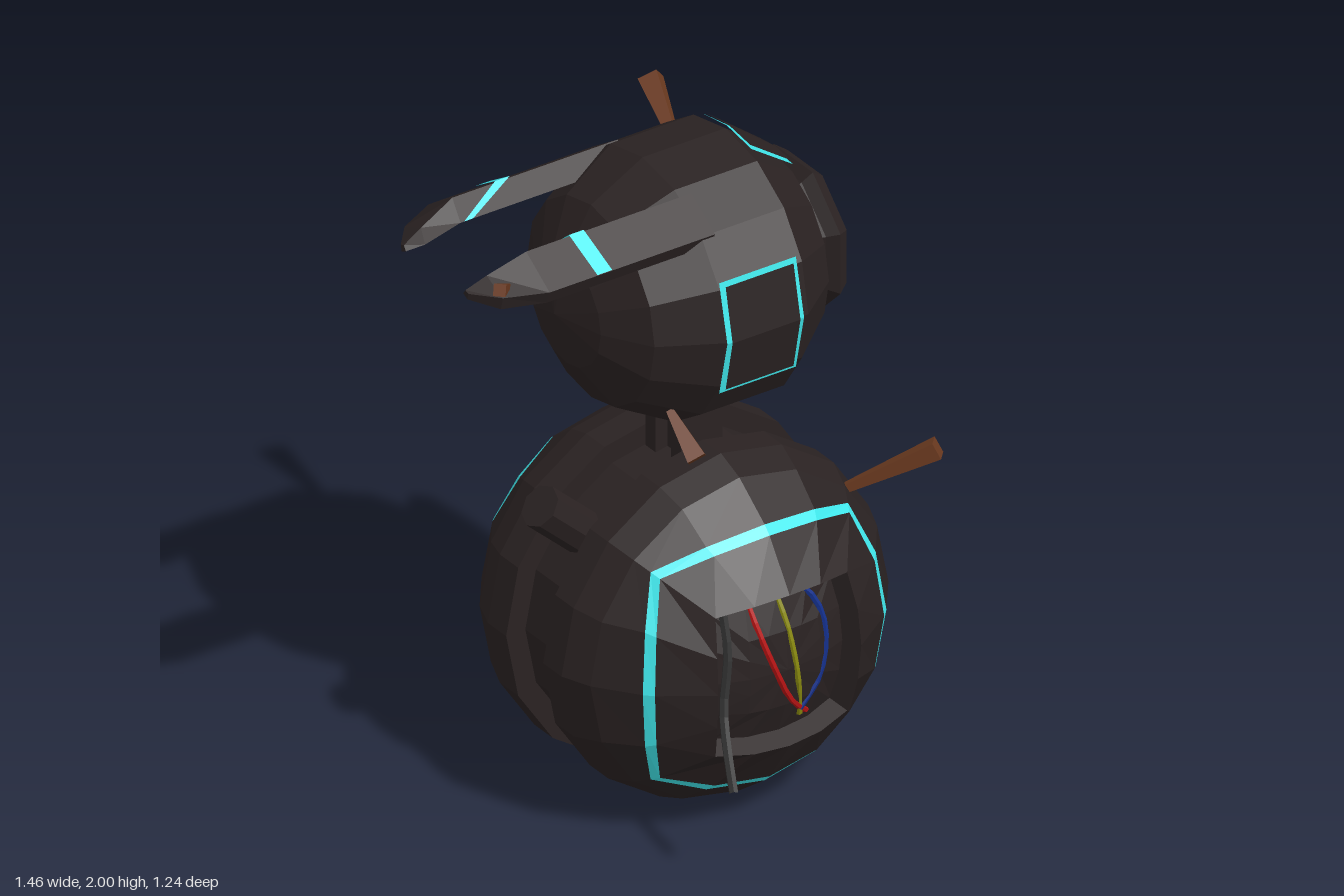
import * as THREE from 'three';

const mat = (color, side = THREE.FrontSide) => new THREE.MeshStandardMaterial({ color, flatShading: true, side });
const dark = mat(0x2a2222), darkThin = mat(0x2a2222, THREE.DoubleSide);
const cyan = mat(0x40e8ec, THREE.DoubleSide), rust = mat(0x6b3a20);
const red = mat(0xb81414), yellow = mat(0x8a8a10), blue = mat(0x14308c), black = mat(0x303030);
const CX = 0.13, CZ = -0.05; // shared centre line of body and head
const BODY_Y = 0.55, HEAD_Y = 1.6, R = 0.57;

function add(parent, name, geometry, material) {
  const mesh = new THREE.Mesh(geometry, material);
  mesh.name = name;
  parent.add(mesh);
  return mesh;
}

// Skin between successive rings of equal point count.
function loft(rings, { closed = true, cap = false } = {}) {
  const pos = [], n = rings[0].length;
  const tri = (...pts) => pts.forEach(p => pos.push(...p));
  for (let k = 0; k + 1 < rings.length; k++) {
    for (let i = 0; i < (closed ? n : n - 1); i++) {
      const j = (i + 1) % n;
      const a = rings[k][i], b = rings[k][j], c = rings[k + 1][j], d = rings[k + 1][i];
      tri(a, d, b);
      tri(b, d, c);
    }
  }
  if (cap) {
    const l = rings[rings.length - 1];
    for (let i = 1; i < n - 1; i++) tri(l[0], l[i + 1], l[i]);
  }
  const g = new THREE.BufferGeometry();
  g.setAttribute('position', new THREE.Float32BufferAttribute(pos, 3));
  g.computeVertexNormals();
  return g;
}

// Square ring of 16 points projected onto a sphere, and plain 16-sided ring.
function squareRing(s, radius) {
  const ring = [];
  for (let q = 0; q < 4; q++) {
    const c = Math.round(Math.cos(q * Math.PI / 2)), sn = Math.round(Math.sin(q * Math.PI / 2));
    for (const [x, y] of [[1, 0], [1, 0.47], [1, 1], [0.47, 1]]) {
      ring.push(new THREE.Vector3(s * (x * c - y * sn), s * (x * sn + y * c), 1).setLength(radius).toArray());
    }
  }
  return ring;
}
const roundRing = (r, z) => Array.from({ length: 16 }, (_, i) =>
  [r * Math.cos(i * Math.PI / 8), r * Math.sin(i * Math.PI / 8), z]);

// Half of the body shell, facing +z.
function bodyHalf() {
  const half = new THREE.Group();
  add(half, 'shellFace', loft([squareRing(0.47, 0.47), squareRing(0.47, R), squareRing(0.93, R)]), dark);
  add(half, 'glowStripe', loft([squareRing(0.93, R), squareRing(1.05, R)]), cyan);
  add(half, 'shellRim', loft([squareRing(1.05, R), roundRing(0.505, 0.27), roundRing(0.54, 0.18),
    roundRing(0.54, 0.09), roundRing(0.44, 0.09)]), dark);
  add(half, 'innerPanel', loft([squareRing(0.001, 0.51), squareRing(0.24, 0.51), squareRing(0.5, 0.51)]), dark);
  return half;
}

function tube(parent, name, pts, radius, material) {
  const curve = new THREE.CatmullRomCurve3(pts.map(p => new THREE.Vector3(...p)));
  return add(parent, name, new THREE.TubeGeometry(curve, 10, radius, 6), material);
}

// Wires lying over an inner panel; side is +1 front, -1 back.
const wirePaths = [
  [[0.03, 0.8], [0.05, 0.68], [0.09, 0.56], [0.15, 0.44], [0.22, 0.37]],
  [[0.12, 0.8], [0.14, 0.68], [0.165, 0.52], [0.195, 0.37]],
  [[0.18, 0.8], [0.25, 0.72], [0.275, 0.62], [0.25, 0.48], [0.19, 0.39]],
];
function wires(parent, side, materials) {
  wirePaths.forEach((path, i) => tube(parent, 'wire', path.map(([x, y]) => {
    const dx = x - CX, dy = y - BODY_Y;
    return [x, y, CZ + side * Math.sqrt(0.505 ** 2 - dx * dx - dy * dy)];
  }), 0.01, materials[i]));
}

// Square spike widening from base to tip.
function spike(parent, base, tip, width) {
  const a = new THREE.Vector3(...base), b = new THREE.Vector3(...tip), d = b.clone().sub(a);
  const m = add(parent, 'rustySpike', new THREE.CylinderGeometry(width, width * 0.4, d.length(), 4), rust);
  m.position.copy(a).add(b).multiplyScalar(0.5);
  m.quaternion.setFromUnitVectors(new THREE.Vector3(0, 1, 0), d.normalize());
}

// Tilted blade on the head; side +1 front, -1 back.
function blade(side) {
  const g = new THREE.Group();
  const section = (x, pts) => {
    const ring = pts.map(([z, y]) => [x, y, CZ + side * z]);
    return side > 0 ? ring : ring.reverse();
  };
  const full = [[0.18, 1.962], [0.295, 1.885], [0.28, 1.845], [0.14, 1.9]];
  add(g, 'bladePlate', loft([
    section(0.03, full), section(-0.53, full),
    section(-0.65, [[0.16, 1.915], [0.24, 1.88], [0.23, 1.84], [0.14, 1.87]]),
    section(-0.715, [[0.15, 1.885], [0.165, 1.88], [0.16, 1.86], [0.14, 1.87]]),
  ], { cap: true }), darkThin);
  // glowing band folded over the ridge
  const band = xs => [[0.136, 1.903], [0.18, 1.967], [0.298, 1.889]].map(([z, y], i) => [xs[i], y, CZ + side * z]);
  add(g, 'bladeBand', loft([band([-0.49, -0.335, -0.32]), band([-0.52, -0.385, -0.37])], { closed: false }), cyan);
  return g;
}

// Bent plate wrapped around the head's x axis; angle 0 = front, -90 = top.
function bentPlate(parent, name, x0, x1, r0, r1, mid, half, material) {
  const rad = Math.PI / 180;
  const g = new THREE.CylinderGeometry(r1, r0, x1 - x0, 2, 1, true, (mid - half) * rad, 2 * half * rad);
  g.rotateZ(-Math.PI / 2).translate((x0 + x1) / 2, HEAD_Y, CZ);
  add(parent, name, g, material);
}

// Lathe around the head's x axis; points are [radius, x].
function headLathe(parent, name, pts, sides, start, material) {
  const g = new THREE.LatheGeometry(pts.map(p => new THREE.Vector2(...p)), sides, start);
  g.rotateZ(-Math.PI / 2).translate(0, HEAD_Y, CZ);
  return add(parent, name, g, material);
}

export function createModel() {
  const model = new THREE.Group();
  model.name = 'robot';

  // Body
  const body = new THREE.Group();
  body.name = 'body';
  body.position.set(CX, BODY_Y, CZ);
  const front = bodyHalf(), back = bodyHalf();
  front.name = 'frontShell';
  back.name = 'backShell';
  back.rotation.y = Math.PI;
  body.add(front, back);
  add(body, 'core', new THREE.CylinderGeometry(0.475, 0.475, 0.3, 16).rotateX(Math.PI / 2), dark);
  const stub = add(body, 'shoulderStub', new THREE.CylinderGeometry(0.065, 0.065, 0.24, 8), dark);
  stub.position.set(-0.4, 0.365, 0);
  stub.rotation.z = 0.83;
  model.add(body);

  // Wiring
  wires(model, 1, [red, yellow, blue]);
  wires(model, -1, [yellow, blue, red]);
  tube(model, 'looseCable', [[-0.05, 0.79, 0.39], [-0.055, 0.65, 0.43], [-0.09, 0.49, 0.46],
    [-0.125, 0.4, 0.53], [-0.16, 0.32, 0.61]], 0.014, black);

  // Neck
  for (const s of [-1, 1]) {
    add(model, 'neckPost', new THREE.BoxGeometry(0.14, 0.3, 0.05), dark).position.set(CX, 1.11, CZ + s * 0.062);
  }
  add(model, 'neckRod', new THREE.BoxGeometry(0.06, 0.3, 0.08), dark).position.set(CX, 1.11, CZ);

  // Head
  const head = new THREE.Group();
  head.name = 'head';
  headLathe(head, 'skull', [[0, -0.31], [0.17, -0.27], [0.31, -0.185], [0.405, -0.01], [0.405, 0.27],
    [0.29, 0.42], [0.18, 0.47], [0, 0.49]], 16, 0, dark);
  for (const mid of [0, 180]) {
    bentPlate(head, 'panelFrame', -0.01, 0.25, 0.413, 0.413, mid, 25.5, cyan);
    bentPlate(head, 'panel', 0.005, 0.235, 0.417, 0.417, mid, 23.3, darkThin);
  }
  bentPlate(head, 'topPanelFrame', 0.275, 0.44, 0.412, 0.285, -90, 17, cyan);
  bentPlate(head, 'topPanel', 0.281, 0.44, 0.412, 0.29, -90, 14.8, darkThin);

  // Ear disc with glowing recess
  headLathe(head, 'earRim', [[0.2, 0.44], [0.22, 0.47], [0.25, 0.5], [0.22, 0.54], [0.17, 0.54]], 8, Math.PI / 8, dark);
  headLathe(head, 'earGlow', [[0.17, 0.54], [0.17, 0.505]], 8, Math.PI / 8, cyan);
  headLathe(head, 'earLens', [[0.17, 0.505], [0.105, 0.505], [0.1, 0.53], [0.07, 0.55], [0, 0.555]], 8, Math.PI / 8, dark);

  // Blades
  for (const side of [1, -1]) {
    const b = blade(side);
    b.name = side > 0 ? 'frontBlade' : 'backBlade';
    head.add(b);
  }
  model.add(head);

  // Spikes
  spike(model, [0.48, 0.87, 0.18], [0.705, 1.025, 0.36], 0.037);
  spike(model, [0.45, 0.38, -0.47], [0.53, 0.32, -0.59], 0.04);
  spike(model, [0.31, 1.8, -0.35], [0.35, 1.91, -0.53], 0.042);
  spike(model, [-0.62, 1.9, 0.17], [-0.71, 1.96, 0.26], 0.025);
  spike(model, [-0.085, 1.33, 0.19], [-0.07, 1.22, 0.3], 0.038);
  return model;
}
